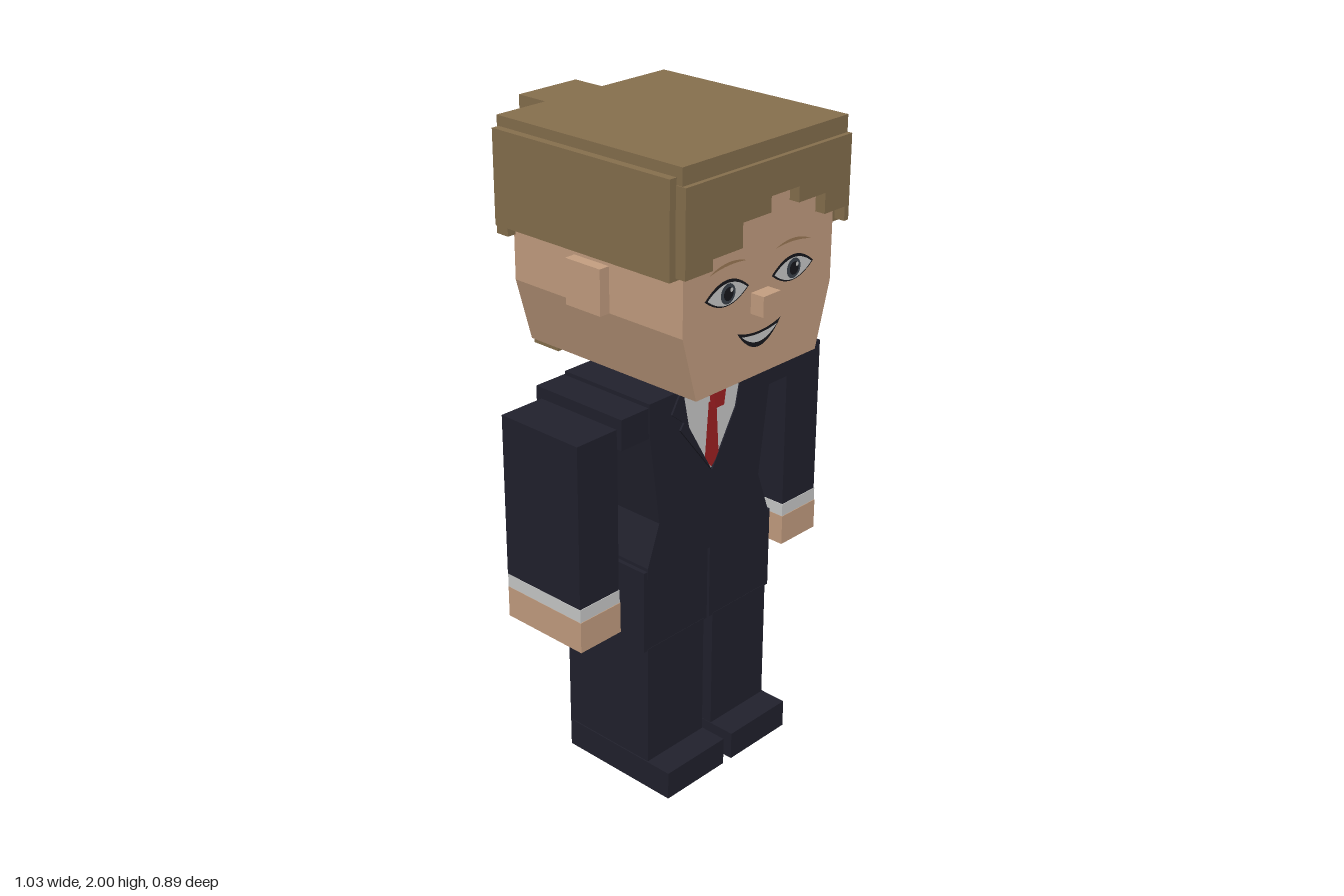
import * as THREE from 'three';

const mat = (name, color, side = THREE.FrontSide) => {
  const m = new THREE.MeshStandardMaterial({ color, side });
  m.name = name;
  return m;
};

export function createModel() {
  const model = new THREE.Group();
  model.name = 'suitedFigure';
  const skin = mat('skin', 0xc6a082);
  const hair = mat('hair', 0x87704e);
  const navy = mat('navySuit', 0x21212d);
  const white = mat('shirtWhite', 0xcbcccb);
  const red = mat('tieRed', 0xa12022);
  const dark = mat('darkLine', 0x17171c);
  const iris = mat('irisGrey', 0x3c434d);
  const brow = mat('browBrown', 0xa07c58);

  const add = (name, geo, material) => {
    const mesh = new THREE.Mesh(geo, material);
    mesh.name = name;
    model.add(mesh);
    return mesh;
  };
  // Box given by its limits on each axis
  const box = (name, material, [x0, x1], [y0, y1], [z0, z1]) => {
    const geo = new THREE.BoxGeometry(x1 - x0, y1 - y0, z1 - z0);
    geo.translate((x0 + x1) / 2, (y0 + y1) / 2, (z0 + z1) / 2);
    return add(name, geo, material);
  };
  const sideBox = (name, material, [x0, x1], y, z) => {
    box(name + 'Left', material, [x0, x1], y, z);
    box(name + 'Right', material, [-x1, -x0], y, z);
  };
  const outline = pts => new THREE.Shape(pts.map(p => new THREE.Vector2(...p)));
  const mirrored = half => [...half, ...half.map(([x, y]) => [-x, y]).reverse()];
  // Front outline extruded from z0 to z1
  const slab = (name, material, shape, z0, z1) => {
    const geo = new THREE.ExtrudeGeometry(shape, { depth: z1 - z0, bevelEnabled: false });
    geo.translate(0, 0, z0);
    return add(name, geo, material);
  };
  const plate = (name, material, shape, z) => {
    const geo = new THREE.ShapeGeometry(shape, 20);
    geo.translate(0, 0, z);
    return add(name, geo, material);
  };
  // Shape between an upper and a lower curve, each with one control point
  const lens = (x0, x1, y0, y1, top, bottom) => {
    const s = new THREE.Shape();
    const cx = (x0 + x1) / 2;
    s.moveTo(x0, y0);
    s.quadraticCurveTo(cx, bottom, x1, y1);
    s.quadraticCurveTo(cx, top, x0, y0);
    return s;
  };
  const disc = (x, y, r) => new THREE.Shape().absarc(x, y, r, 0, Math.PI * 2);

  // Head with a jaw that narrows at the sides
  slab('head', skin, outline(mirrored([[0.25, 1.33], [0.305, 1.525], [0.305, 1.96]])), -0.24, 0.4);
  sideBox('ear', skin, [0.28, 0.34], [1.525, 1.66], [0, 0.132]);
  box('nose', skin, [-0.035, 0.035], [1.52, 1.58], [0.39, 0.445]);
  box('neck', skin, [-0.083, 0.083], [1.25, 1.34], [-0.025, 0.155]);

  // Face
  for (const s of [1, -1]) {
    const x = s * 0.135, side = s > 0 ? 'Left' : 'Right';
    plate('eyeOutline' + side, dark, lens(x - 0.088, x + 0.088, 1.606, 1.606, 1.685, 1.535), 0.402);
    plate('eyeWhite' + side, white, lens(x - 0.079, x + 0.079, 1.606, 1.606, 1.668, 1.543), 0.404);
    plate('iris' + side, iris, disc(x, 1.607, 0.029), 0.406);
    plate('pupil' + side, dark, disc(x, 1.607, 0.019), 0.408);
    plate('eyeGlint' + side, white, disc(x + 0.01, 1.617, 0.006), 0.4095);
    const y0 = s > 0 ? 1.681 : 1.673, y1 = s > 0 ? 1.673 : 1.681;
    plate('brow' + side, brow, lens(x - 0.075, x + 0.075, y0, y1, 1.71, 1.692), 0.403);
  }
  plate('mouth', dark, lens(-0.09, 0.09, 1.476, 1.476, 1.445, 1.355), 0.402);
  plate('teeth', white, lens(-0.074, 0.074, 1.463, 1.463, 1.446, 1.398), 0.404);

  // Hair: crown, stepped fringe, side and back panels
  box('hairCrown', hair, [-0.33, 0.33], [1.94, 2], [-0.267, 0.419]);
  slab('fringe', hair, outline([
    [-0.333, 1.95], [-0.333, 1.703], [-0.228, 1.703], [-0.228, 1.735], [-0.112, 1.735], [-0.112, 1.805],
    [0, 1.805], [0, 1.85], [0.115, 1.85], [0.115, 1.805], [0.227, 1.805], [0.227, 1.745],
    [0.315, 1.745], [0.315, 1.703], [0.333, 1.703], [0.333, 1.95],
  ]), 0.395, 0.433);
  sideBox('hairSide', hair, [0.3, 0.355], [1.695, 1.97], [-0.26, 0.399]);
  box('hairBack', hair, [-0.333, 0.333], [1.66, 1.945], [-0.28, -0.235]);

  // Ponytail
  box('hairKnot', hair, [-0.112, 0.112], [1.703, 1.985], [-0.415, -0.26]);
  box('ponytail', hair, [-0.08, 0.08], [1.29, 1.66], [-0.445, -0.322]);
  box('ponytailTip', hair, [-0.065, 0.065], [1.205, 1.295], [-0.432, -0.328]);

  // Jacket with a narrow waist
  slab('jacket', navy, outline(mirrored([
    [0.262, 0.72], [0.262, 0.755], [0.215, 0.885], [0.255, 1.18], [0.255, 1.27],
  ])), -0.1, 0.233);
  sideBox('shoulder', navy, [0.24, 0.362], [1.165, 1.258], [-0.105, 0.23]);

  // Shirt opening, tie and lapels
  plate('shirtFront', white, outline(mirrored([[0, 0.985], [0.03, 1.03], [0.1, 1.15], [0.128, 1.268]])), 0.235);
  plate('tie', red, outline(mirrored([[0, 0.99], [0.03, 1.02], [0.016, 1.2]])), 0.237);
  slab('tieKnot', red, outline(mirrored([[0.018, 1.19], [0.026, 1.24]])), 0.247, 0.265);
  for (const s of [1, -1]) {
    const pts = [[0, 0.98], [0.135, 1.15], [0.12, 1.17], [0.17, 1.21], [0.135, 1.268],
      [0.125, 1.268], [0.1, 1.15], [0.03, 1.03]].map(([x, y]) => [s * x, y]);
    slab(s > 0 ? 'lapelLeft' : 'lapelRight', navy, outline(pts), 0.233, 0.239);
  }

  // Arms
  sideBox('sleeve', navy, [0.36, 0.513], [0.718, 1.224], [-0.085, 0.212]);
  sideBox('cuff', white, [0.358, 0.514], [0.678, 0.72], [-0.083, 0.214]);
  sideBox('hand', skin, [0.357, 0.515], [0.582, 0.679], [-0.082, 0.216]);

  // Legs and shoes
  sideBox('thigh', navy, [0.005, 0.276], [0.48, 0.745], [-0.102, 0.231]);
  sideBox('lowerLeg', navy, [0.02, 0.262], [0.08, 0.485], [-0.1, 0.232]);
  sideBox('shoe', navy, [0.018, 0.266], [0, 0.09], [-0.095, 0.32]);

  return model;
}
